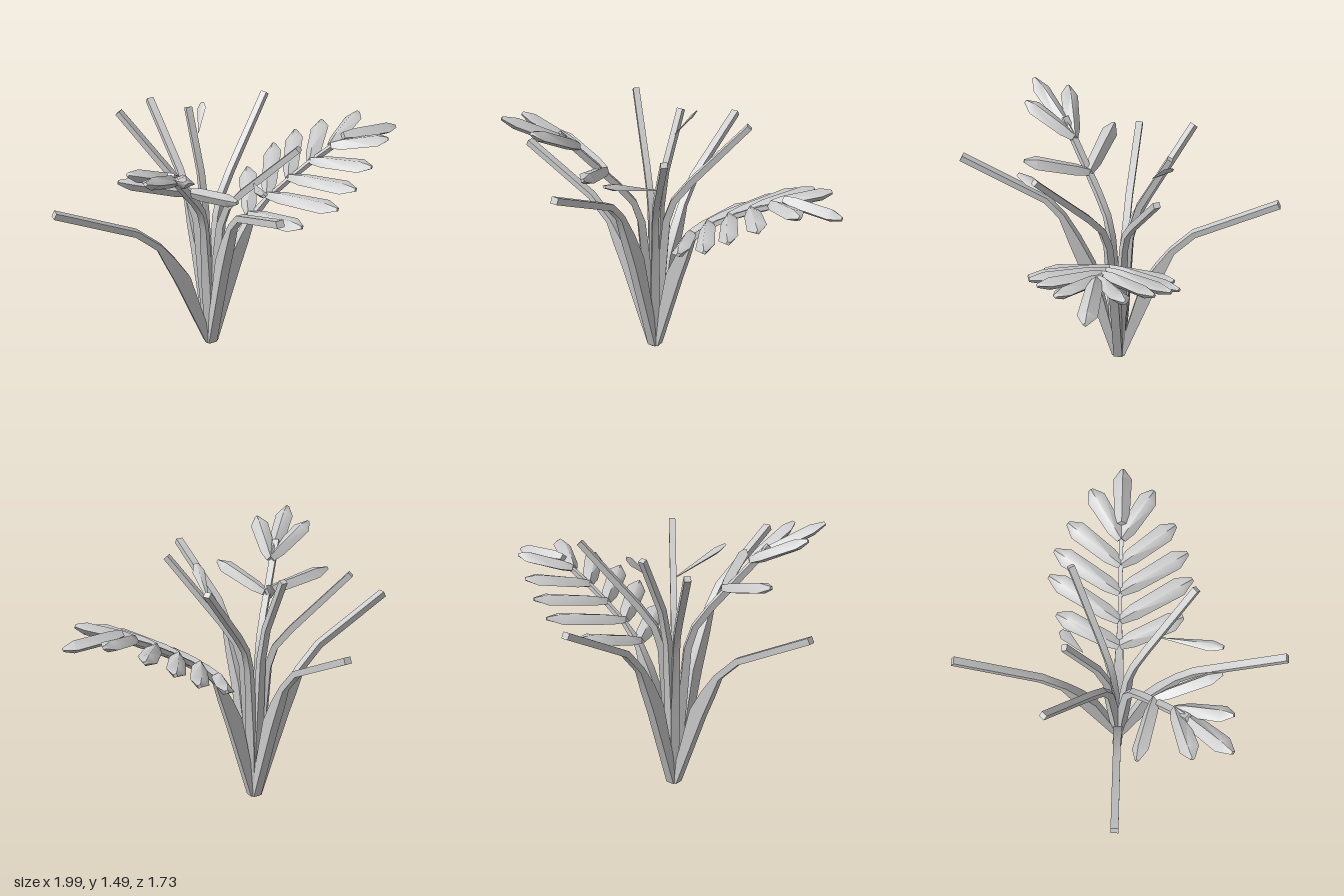
import * as THREE from 'three';
import { toCreasedNormals } from 'three/addons/utils/BufferGeometryUtils.js';

const CX = -0.14; // the clump's root on x
const UP = new THREE.Vector3(0, 1, 0);
const material = new THREE.MeshStandardMaterial({ color: 0xcccccc, side: THREE.DoubleSide });
const V = (x, y, z) => new THREE.Vector3(x, y, z);

// Lofts a four-sided ring along a spine. sizes: [width, height] per point.
function loft(name, spine, sizes, side, corners, flatBase = false) {
  const rings = spine.map((p, i) => {
    const a = spine[Math.max(i - 1, 0)], b = spine[Math.min(i + 1, spine.length - 1)];
    const t = flatBase && i === 0 ? UP : b.clone().sub(a).normalize();
    const n = t.clone().cross(side).normalize();
    const [w, h] = sizes[i];
    return corners.map(([u, v]) => p.clone().addScaledVector(side, u * w / 2).addScaledVector(n, v * h / 2));
  });
  const pos = [];
  const tri = (...pts) => pts.forEach(p => pos.push(p.x, p.y, p.z));
  for (let k = 0; k < rings.length - 1; k++) {
    const a = rings[k], b = rings[k + 1];
    for (let i = 0; i < 4; i++) {
      const j = (i + 1) % 4;
      tri(a[i], a[j], b[j]);
      tri(a[i], b[j], b[i]);
    }
  }
  const s = rings[0], e = rings[rings.length - 1];
  tri(s[0], s[2], s[1]); tri(s[0], s[3], s[2]);
  tri(e[0], e[1], e[2]); tri(e[0], e[2], e[3]);
  const geo = new THREE.BufferGeometry();
  geo.setAttribute('position', new THREE.Float32BufferAttribute(pos, 3));
  const mesh = new THREE.Mesh(toCreasedNormals(geo, 1.2), material);
  mesh.name = name;
  return mesh;
}

const SQUARE = [[1, 1], [-1, 1], [-1, -1], [1, -1]];
const DIAMOND = [[1, 0], [0, 1], [-1, 0], [0, -1]];

// Stem leaving the root toward (dx, dz); profile rows are [radius, y, width, height].
function stem(name, dx, dz, profile) {
  const dir = V(dx, 0, dz).normalize();
  const spine = profile.map(([r, y]) => V(CX, y, 0).addScaledVector(dir, r));
  return loft(name, spine, profile.map(p => [p[2], p[3]]), UP.clone().cross(dir), SQUARE, true);
}

// Leaflet outlines: rows are [position, width, thickness], all as fractions
const BROAD = [[0, 0.5, 0.7], [0.2, 0.85, 1], [0.82, 1, 1], [1, 0.25, 0.35]];
const WEDGE = [[0, 0.08, 0.2], [0.8, 1, 1], [1, 0.4, 0.4]];

// Leaflet from base to tip, its broad face toward the normal.
function leaflet(base, tip, normal, width = 0.1, thick = 0.065, shape = BROAD) {
  const d = tip.clone().sub(base).normalize();
  const side = normal.clone().cross(d).normalize();
  return loft('leaflet', shape.map(s => base.clone().lerp(tip, s[0])),
    shape.map(s => [s[1] * width, s[2] * thick]), side, DIAMOND);
}

export function createModel() {
  const plant = new THREE.Group();
  plant.name = 'plant';

  // Outer stalks: sheath swelling on the inner side, then a thin bent strip
  const sheath = (r, y) => [
    [0.015, 0, 0.05, 0.04],
    [r * 0.55, y * 0.65, 0.05, 0.085],
    [r * 0.77, y * 0.83, 0.05, 0.065],
    [r * 0.98, y * 0.99, 0.04, 0.035],
  ];
  const strip = (...pts) => pts.map(([r, y]) => [r, y, 0.04, 0.035]);
  plant.add(stem('rightStalk', -1, 0, [...sheath(0.3, 0.72), ...strip([0.42, 0.835], [0.855, 1.06])]));
  plant.add(stem('backStalk', 0, -1, [...sheath(0.3, 0.78), ...strip([0.41, 0.9], [0.855, 1.135])]));
  plant.add(stem('frontStalk', 0, 1, [...sheath(0.32, 0.96), ...strip([0.4, 1.05], [0.855, 1.28])]));
  const rachis = [[0.35, 0.86], [0.48, 0.95], [0.62, 1.035], [0.75, 1.1], [0.88, 1.135]];
  plant.add(stem('frondStalk', 1, 0, [...sheath(0.25, 0.76), ...rachis.map(([r, y]) => [r, y, 0.022, 0.025])]));

  // Inner upright stems, arching outward near the top
  const upright = (reach, top) => [
    [0.012, 0, 0.04, 0.04], [0.035, 0.4, 0.05, 0.05], [0.07, 0.8, 0.035, 0.04],
    [0.11, 0.92, 0.035, 0.035], [0.15 + reach * 0.09, 1.03, 0.035, 0.035], [reach, top, 0.035, 0.03],
  ];
  plant.add(stem('innerStem', 0.44, -0.25, upright(0.51, 1.37)));
  plant.add(stem('innerStem', 0.33, 0.39, upright(0.51, 1.37)));
  plant.add(stem('innerStem', -0.36, -0.36, upright(0.51, 1.37)));
  plant.add(stem('smallFrondStem', -0.36, 0.36, upright(0.5, 1.36)));
  plant.add(stem('innerStem', 0, -1, [
    [0.01, 0, 0.04, 0.04], [0.03, 0.4, 0.045, 0.05], [0.06, 0.85, 0.035, 0.04],
    [0.11, 1.05, 0.035, 0.035], [0.27, 1.365, 0.035, 0.03]]));

  // Large frond: five leaflet pairs and a terminal leaflet
  const frond = new THREE.Group();
  frond.name = 'largeFrond';
  const slope = V(-0.38, 0.92, 0).normalize();
  // base x, base y, tip x, tip y, tip z
  const pairs = [
    [0.1, 0.785, 0.245, 0.86, 0.345], [0.21, 0.88, 0.43, 0.95, 0.39], [0.34, 0.96, 0.55, 1.025, 0.36],
    [0.47, 1.035, 0.68, 1.095, 0.29], [0.59, 1.1, 0.845, 1.17, 0.17],
  ];
  for (const [bx, by, tx, ty, tz] of pairs)
    for (const s of [1, -1]) frond.add(leaflet(V(bx, by, 0), V(tx, ty, s * tz), slope, 0.105));
  frond.add(leaflet(V(0.66, 1.145, 0), V(0.99, 1.13, 0), UP, 0.1, 0.07));
  plant.add(frond);

  // Small frond at the front right
  const small = new THREE.Group();
  small.name = 'smallFrond';
  const lean = V(0.35, 0.87, -0.35);
  const joint = V(-0.32, 1.13, 0.19), upper = V(-0.42, 1.28, 0.29);
  small.add(leaflet(joint, V(-0.68, 1.235, 0.105), lean, 0.09));
  small.add(leaflet(joint, V(-0.215, 1.235, 0.53), lean, 0.09));
  small.add(leaflet(upper, V(-0.72, 1.43, 0.37), lean));
  small.add(leaflet(upper, V(-0.5, 1.44, 0.57), lean));
  small.add(leaflet(upper, V(-0.7, 1.475, 0.56), lean));
  plant.add(small);

  // Single wedge-shaped leaflets on the inner stems
  plant.add(leaflet(V(0.02, 1.115, 0.22), V(-0.075, 1.24, 0.535), V(0.3, 0.8, -0.4), 0.07, 0.04, WEDGE));
  plant.add(leaflet(V(-0.12, 1.25, -0.18), V(-0.05, 1.365, -0.29), V(-0.75, 0.6, 0.15), 0.06, 0.015, WEDGE));
  return plant;
}
